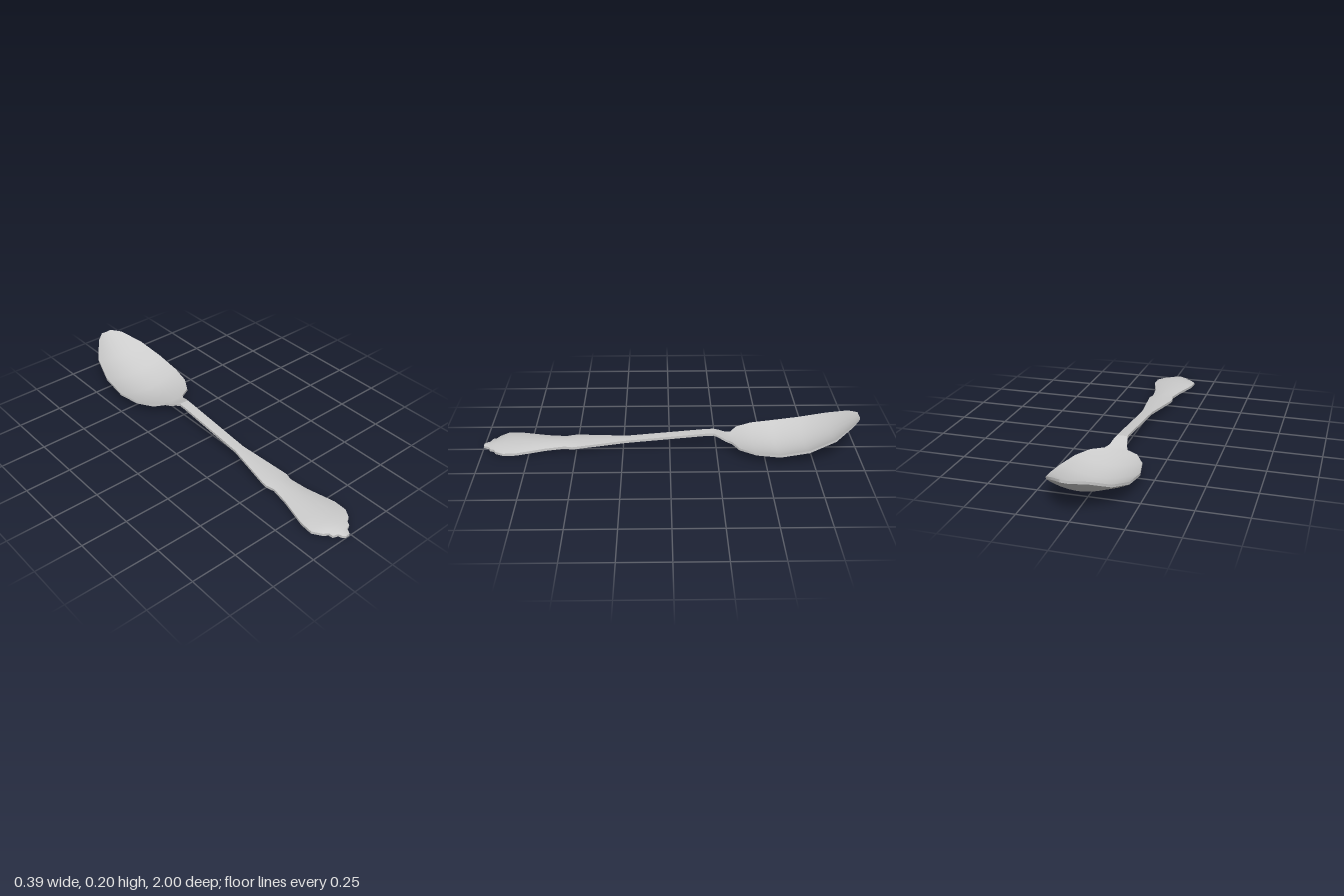
import * as THREE from 'three';
import { toCreasedNormals } from 'three/addons/utils/BufferGeometryUtils.js';

const COLS = 14;

// Each station: z, left edge x, right edge x, top height at the edges, top height on the centre line
const handleStations = [
  [1.0, -0.036, -0.012, 0.014, 0.016],
  [0.99, -0.048, -0.005, 0.015, 0.018],
  [0.97, -0.056, 0.004, 0.016, 0.022],
  [0.962, -0.084, 0.028, 0.017, 0.025],
  [0.94, -0.088, 0.038, 0.019, 0.03],
  [0.925, -0.112, 0.064, 0.02, 0.033],
  [0.88, -0.145, 0.09, 0.023, 0.037],
  [0.81, -0.14, 0.09, 0.025, 0.04],
  [0.66, -0.098, 0.05, 0.03, 0.042],
  [0.56, -0.08, 0.036, 0.034, 0.043],
  [0.52, -0.091, 0.047, 0.035, 0.044],
  [0.49, -0.09, 0.044, 0.037, 0.045],
  [0.23, -0.042, 0.014, 0.055, 0.056],
  [-0.19, -0.037, 0.016, 0.095, 0.095],
  [-0.235, -0.037, 0.017, 0.097, 0.097],
];
const bowlStations = [
  [-0.235, -0.037, 0.017, 0.097, 0.097],
  [-0.265, -0.045, 0.028, 0.086, 0.086],
  [-0.3, -0.054, 0.038, 0.069, 0.067],
  [-0.33, -0.066, 0.054, 0.064, 0.058],
  [-0.365, -0.125, 0.117, 0.062, 0.049],
  [-0.45, -0.175, 0.168, 0.06, 0.027],
  [-0.57, -0.198, 0.195, 0.062, 0.013],
  [-0.72, -0.19, 0.193, 0.086, 0.038],
  [-0.86, -0.15, 0.158, 0.132, 0.093],
  [-0.96, -0.075, 0.09, 0.183, 0.164],
  [-1.0, -0.025, 0.038, 0.197, 0.195],
];

// Lofts a thin crowned or dished plate through the stations, closing the chosen ends
function plate(stations, thickness, capFront, capBack) {
  const position = [], index = [];
  const ring = 2 * (COLS + 1);
  for (const [z, left, right, edge, mid] of stations) {
    for (let j = 0; j < ring; j++) {
      const under = j > COLS;
      const u = (under ? ring - 1 - j : j) / COLS;
      const t = 2 * u - 1;
      const y = edge + (mid - edge) * (1 - t * t) - (under ? thickness : 0);
      position.push(left + (right - left) * u, y, z);
    }
  }
  for (let i = 0; i < stations.length - 1; i++) {
    for (let j = 0; j < ring; j++) {
      const a = i * ring + j, b = i * ring + (j + 1) % ring;
      index.push(a, b, b + ring, a, b + ring, a + ring);
    }
  }
  const last = (stations.length - 1) * ring;
  for (let k = 0; k < COLS; k++) {
    const tl = k, tr = k + 1, br = ring - 2 - k, bl = ring - 1 - k;
    if (capFront) index.push(tl, bl, br, tl, br, tr);
    if (capBack) index.push(last + tl, last + br, last + bl, last + tl, last + tr, last + br);
  }
  const geometry = new THREE.BufferGeometry();
  geometry.setAttribute('position', new THREE.Float32BufferAttribute(position, 3));
  geometry.setIndex(index);
  return toCreasedNormals(geometry, 0.6);
}

export function createModel() {
  const group = new THREE.Group();
  group.name = 'spoon';
  const metal = new THREE.MeshStandardMaterial({ color: 0xcccccc });

  // Handle with a scalloped, slightly crowned end
  const handle = new THREE.Mesh(plate(handleStations, 0.014, true, false), metal);
  handle.name = 'handle';

  // Neck dropping into the dished bowl
  const bowl = new THREE.Mesh(plate(bowlStations, 0.013, false, true), metal);
  bowl.name = 'bowl';

  group.add(handle, bowl);
  return group;
}
